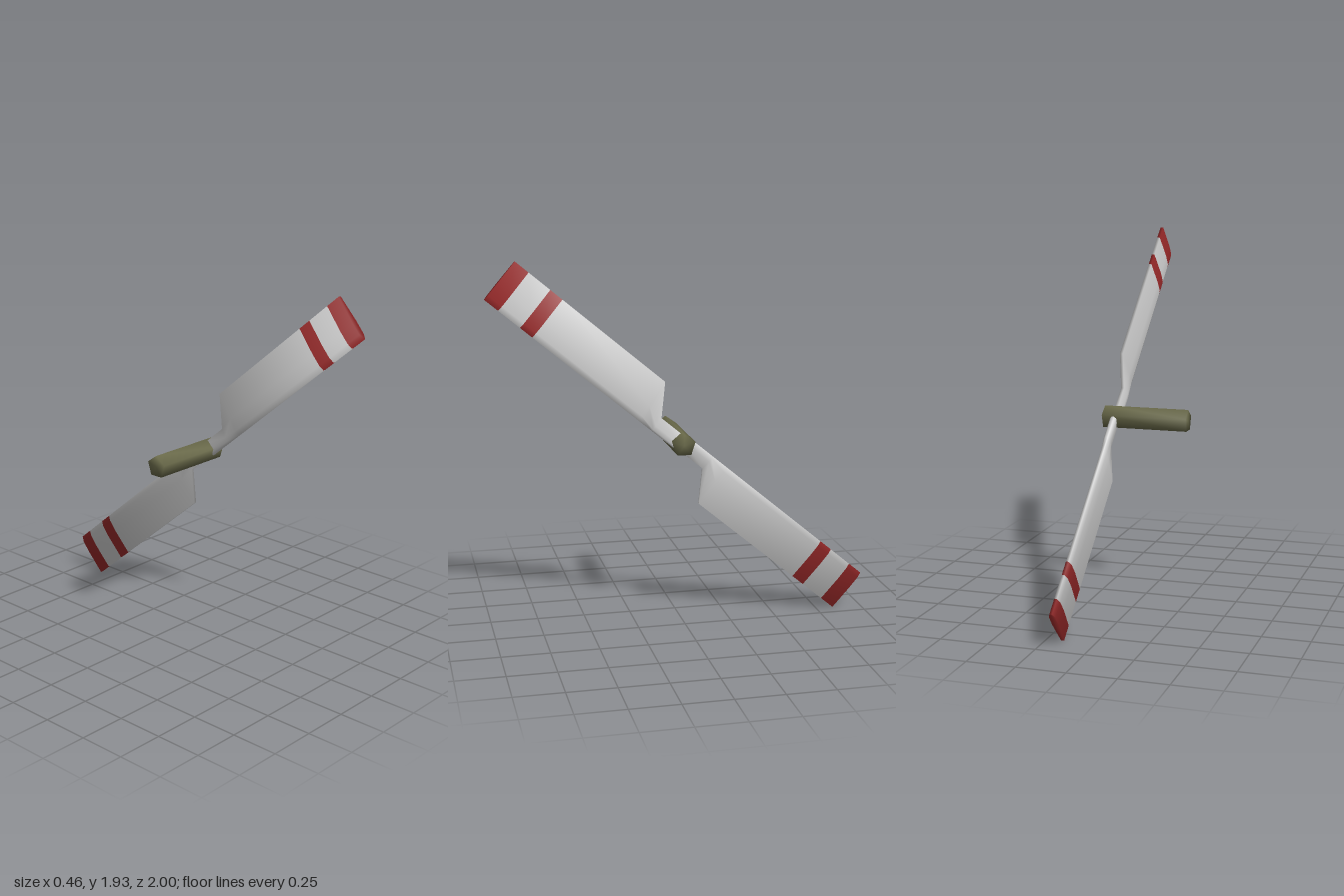
import * as THREE from 'three';
import { mergeVertices } from 'three/addons/utils/BufferGeometryUtils.js';

const HUB_Y = 0.97, BLADE_X = 0.168;

// Blade along +z (span) and y (chord), thickness along x
function bladeGeometry() {
  // [span at leading edge, span at trailing edge, chord height of trailing edge]
  const sections = [
    [0, 0, 0.037], [0.174, 0.174, 0.037], [0.265, 0.281, 0.195],
    [0.962, 0.962, 0.195], [1.04, 1.04, 0.195], [1.178, 1.178, 0.195], [1.265, 1.265, 0.195],
  ];
  // airfoil: [fraction from leading to trailing edge, half thickness]
  const side = [[0, 0.007], [0.12, 0.017], [0.4, 0.018], [1, 0.008]];
  const ring = [...side, ...side.slice().reverse().map(([t, h]) => [t, -h])];
  const n = ring.length, lead = -0.046, last = sections.length - 1;
  const pos = [], idx = [];
  for (const [u0, u1, top] of sections)
    for (const [t, h] of ring) pos.push(h, lead + (top - lead) * t, u0 + (u1 - u0) * t);

  const geo = new THREE.BufferGeometry();
  for (let i = 0; i < last; i++) {
    const start = idx.length;
    for (let j = 0; j < n; j++) {
      const k = (j + 1) % n, a = i * n, b = a + n;
      idx.push(a + j, a + k, b + k, a + j, b + k, b + j);
    }
    geo.addGroup(start, idx.length - start, i === 3 || i === 5 ? 1 : 0);
  }
  // tip cap
  const capStart = idx.length;
  for (let j = 1; j < n - 1; j++) idx.push(last * n, last * n + j, last * n + j + 1);
  geo.addGroup(capStart, idx.length - capStart, 1);
  geo.setAttribute('position', new THREE.Float32BufferAttribute(pos, 3));
  geo.setIndex(idx);
  geo.computeVertexNormals();

  // normals soften gradually from the root of the blade to the rounded tip
  const nor = geo.attributes.normal;
  const root = new THREE.Vector3(), tip = new THREE.Vector3(), mid = new THREE.Vector3();
  for (let j = 0; j < n; j++) {
    root.fromBufferAttribute(nor, 2 * n + j);
    tip.copy(root).setZ(root.z + 0.8).normalize();
    for (let i = 3; i <= last; i++) {
      const t = (sections[i][0] - 0.27) / (1.265 - 0.27);
      mid.lerpVectors(root, tip, t).normalize();
      nor.setXYZ(i * n + j, mid.x, mid.y, mid.z);
    }
  }
  return geo;
}

// Five-sided shaft along x, one corner up, with smooth shading
function shaftGeometry() {
  let geo = new THREE.CylinderGeometry(0.061, 0.061, 0.46, 5);
  geo.rotateZ(-Math.PI / 2);
  geo.deleteAttribute('uv');
  geo.deleteAttribute('normal');
  geo = mergeVertices(geo, 1e-4);
  // turn the corner that lies lowest to the top
  const p = geo.attributes.position;
  let best = 0;
  for (let i = 0; i < p.count; i++) if (Math.hypot(p.getY(i), p.getZ(i)) > 0.05) best = i;
  geo.rotateX(-Math.atan2(p.getZ(best), p.getY(best)));
  geo.computeVertexNormals();
  return geo;
}

export function createModel() {
  const white = new THREE.MeshStandardMaterial({ color: 0xd0d0d0 });
  white.name = 'lightGrey';
  const red = new THREE.MeshStandardMaterial({ color: 0x9a2a2a });
  red.name = 'red';
  const olive = new THREE.MeshStandardMaterial({ color: 0x6a6a4a });
  olive.name = 'olive';

  const model = new THREE.Group();
  model.name = 'propeller';

  const shaft = new THREE.Mesh(shaftGeometry(), olive);
  shaft.name = 'shaft';
  shaft.position.y = HUB_Y;
  model.add(shaft);

  // two opposite blades
  const geo = bladeGeometry();
  ['upperBlade', 'lowerBlade'].forEach((name, i) => {
    const blade = new THREE.Mesh(geo, [white, red]);
    blade.name = name;
    blade.position.set(BLADE_X, HUB_Y, 0);
    blade.rotation.x = -40 * Math.PI / 180 + i * Math.PI;
    model.add(blade);
  });
  return model;
}
